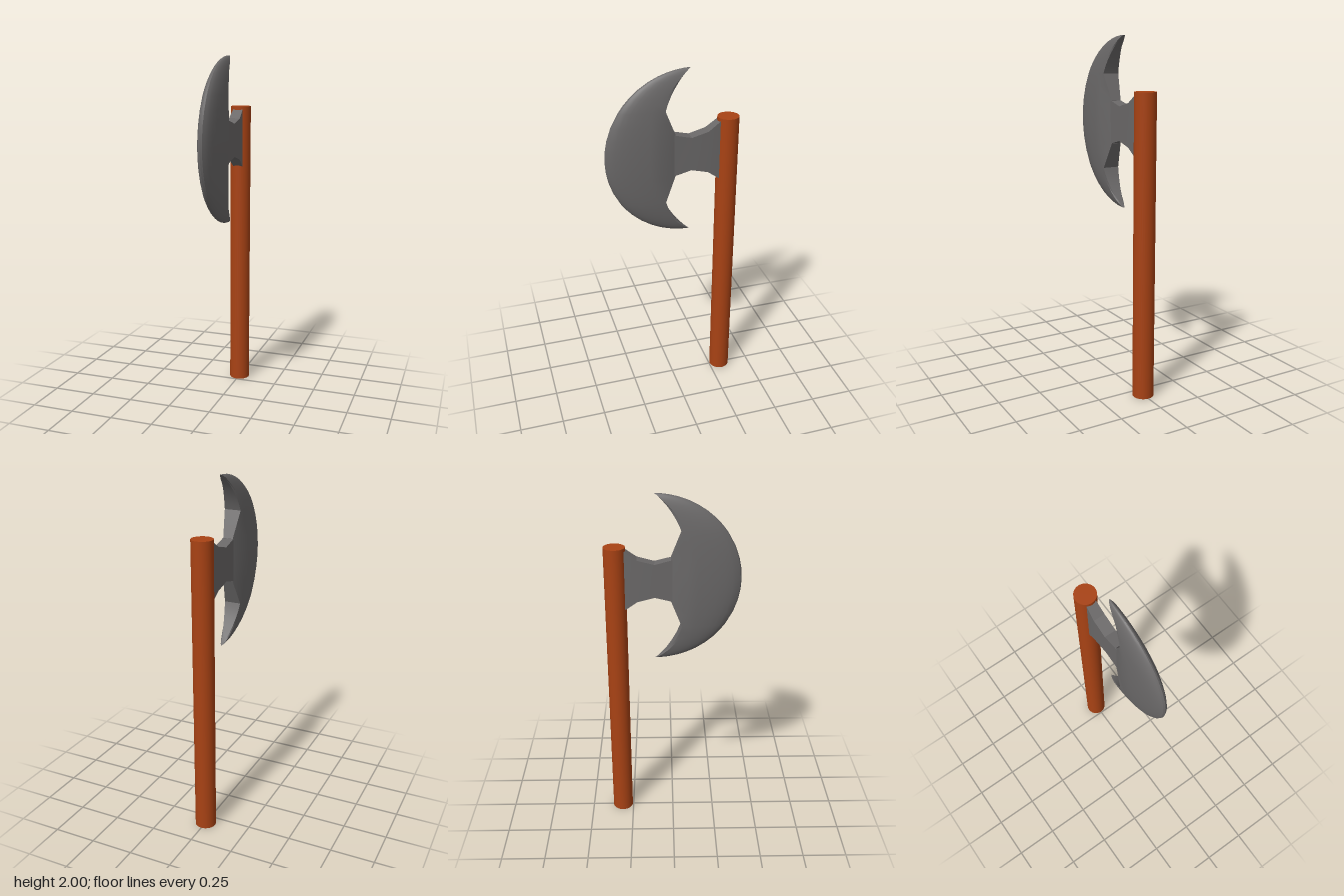
import * as THREE from 'three';
import { toCreasedNormals } from 'three/addons/utils/BufferGeometryUtils.js';

const MID_Y = 1.525;   // height of the blade's centre line
const TIP_Z = -0.1;    // both horns end here, also the centre of the cutting arc
const RADIUS = 0.475;
const THICK = 0.057;   // half thickness at the ridge

// Joins closed rings of equal length into a skin.
function loft(rings, crease) {
  const pos = [];
  const tri = (...p) => {
    if (new THREE.Triangle(...p).getArea() > 1e-9) p.forEach(v => pos.push(v.x, v.y, v.z));
  };
  for (let i = 0; i < rings.length - 1; i++) {
    const n = rings[i].length;
    for (let j = 0; j < n; j++) {
      const k = (j + 1) % n;
      const a = rings[i][j], b = rings[i][k], c = rings[i + 1][j], d = rings[i + 1][k];
      tri(a, b, c);
      tri(b, d, c);
    }
  }
  const geo = new THREE.BufferGeometry();
  geo.setAttribute('position', new THREE.Float32BufferAttribute(pos, 3));
  return toCreasedNormals(geo, crease);
}

// Rows of the half blade: [distance from the centre line, z of the inner edge]
const ROWS = [
  [0, -0.01], [0.06, -0.01], [0.12, -0.01], [0.19, 0.019], [0.265, 0.05],
  [0.30, 0.038], [0.34, 0.019], [0.38, -0.006], [0.415, -0.032], [0.44, -0.056],
  [0.457, -0.073], [0.468, -0.086], [0.473, -0.094], [RADIUS, TIP_Z],
];

// Horizontal section: cutting edge, swelling cheek, ridge, flat inner edge.
function bladeRing(dy, inner) {
  const d = Math.abs(dy);
  const fade = Math.sqrt(Math.max(0, 1 - (d / RADIUS) ** 2));
  const outer = TIP_Z + RADIUS * fade;
  const ridge = d <= 0.265 ? 0.08 : inner + 0.03 * (RADIUS - d) / (RADIUS - 0.265);
  const half = [];
  for (let i = 1; i <= 8; i++) {
    const a = (i / 8) * Math.PI / 2;
    half.push([THICK * fade * Math.sin(a), ridge + (outer - ridge) * Math.cos(a)]);
  }
  half.push([THICK * (inner - TIP_Z) / 0.18, inner]);
  const y = MID_Y + dy;
  return [
    new THREE.Vector3(0, y, outer),
    ...half.map(([x, z]) => new THREE.Vector3(x, y, z)),
    ...half.reverse().map(([x, z]) => new THREE.Vector3(-x, y, z)),
  ];
}

export function createModel() {
  const group = new THREE.Group();
  const wood = new THREE.MeshStandardMaterial({ color: 0xa84214 });
  const steel = new THREE.MeshStandardMaterial({ color: 0x6a6868 });
  const add = (name, geo, mat) => {
    const mesh = new THREE.Mesh(geo, mat);
    mesh.name = name;
    group.add(mesh);
    return mesh;
  };

  // Round shaft
  add('handle', new THREE.CylinderGeometry(0.06, 0.06, 1.71, 32), wood)
    .position.set(0, 0.855, -0.315);

  // Crescent blade, mirrored about its centre line
  const lower = ROWS.slice(1).reverse().map(([d, z]) => bladeRing(-d, z));
  const upper = ROWS.map(([d, z]) => bladeRing(d, z));
  add('blade', loft([...lower, ...upper], 0.35), steel);

  // Waisted neck between shaft and blade: [z, half width, half height]
  const neck = [
    [-0.275, 0.027, 0.178], [-0.257, 0.029, 0.165], [-0.195, 0.033, 0.12],
    [-0.10, 0.033, 0.095], [-0.01, 0.031, 0.118], [0.02, 0.031, 0.118],
  ].map(([z, w, h]) => [[1, 1], [-1, 1], [-1, -1], [1, -1]]
    .map(([sx, sy]) => new THREE.Vector3(sx * w, MID_Y + sy * h, z)));
  add('bladeNeck', loft(neck, 0.1), steel);

  return group;
}
